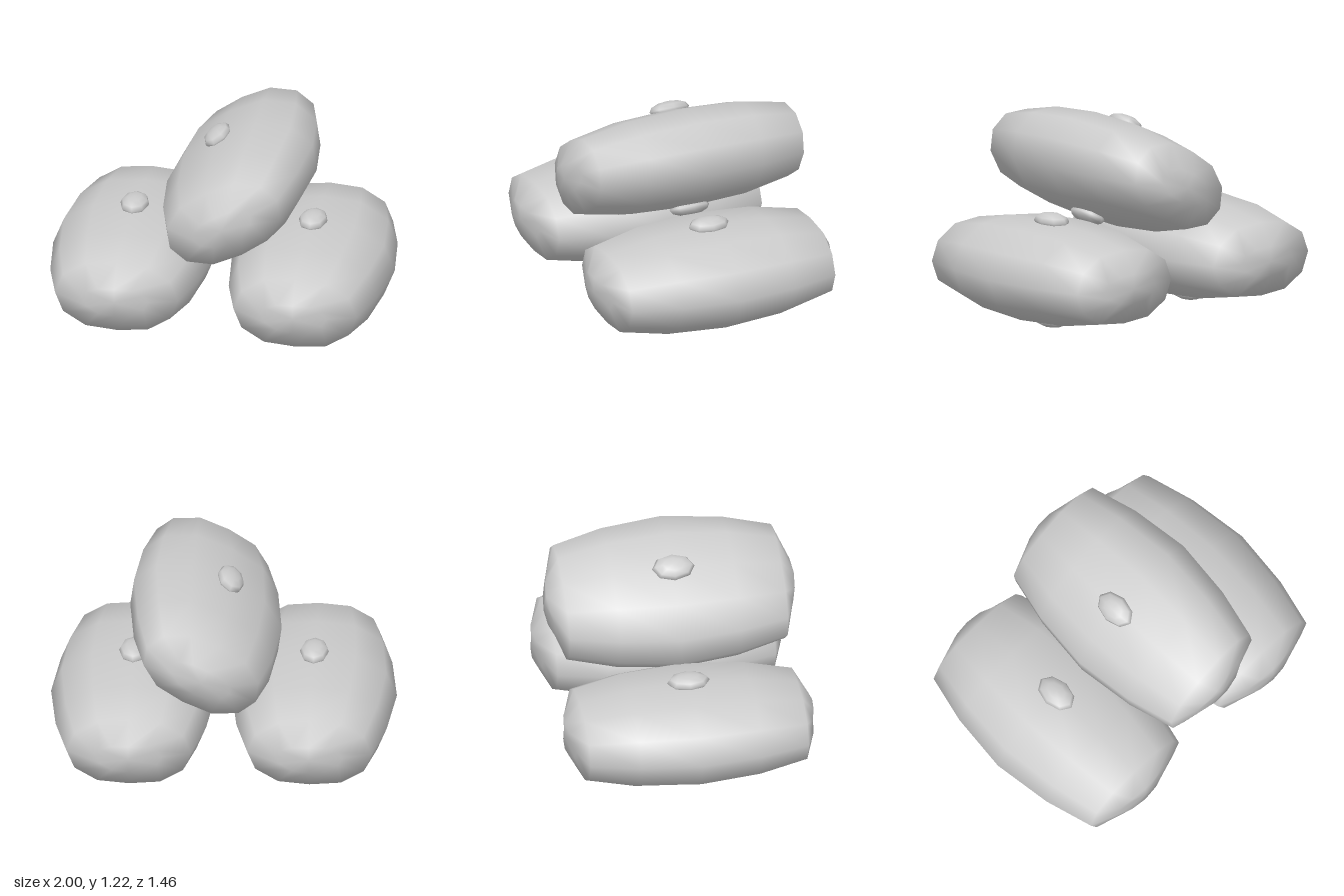
import * as THREE from 'three';

const grey = new THREE.MeshStandardMaterial({ color: 0xcccccc });

// One quarter of the twelve-sided cross-section, mirrored round the rest
const quarter = [[0.477, 0], [0.415, 0.155], [0.24, 0.263]];
const section = [
  ...quarter, [0, 0.285],
  ...quarter.slice(1).reverse().map(([x, y]) => [-x, y]),
  ...quarter.map(([x, y]) => [-x, -y]), [0, -0.285],
  ...quarter.slice(1).reverse().map(([x, y]) => [x, -y]),
];

// Rings along the length: z, width scale, height scale, bulge drop at the sides
const half = [[0.355, 0.912, 0.94, 0], [0.64, 0.755, 0.755, 0], [0.726, 0.4, 0.3, 0.035]];
const rings = [
  ...half.map(([z, w, h, d]) => [-z, w, h, -d]).reverse(),
  [0, 1, 1, 0],
  ...half,
];

// Puffed cushion body, lofted through the rings and closed at both ends
function cushionGeometry() {
  const n = section.length;
  const pos = [];
  const index = [];
  for (const [z, w, h, drop] of rings) {
    for (const [x, y] of section) {
      pos.push(x * w, y * h, z - drop * (x / 0.477) ** 2);
    }
  }
  const back = rings.length * n;
  const front = back + 1;
  pos.push(0, 0, -0.728, 0, 0, 0.728);
  for (let i = 0; i < n; i++) {
    const j = (i + 1) % n;
    for (let r = 0; r < rings.length - 1; r++) {
      const a = r * n + i, b = r * n + j;
      index.push(a, b, b + n, a, b + n, a + n);
    }
    const last = (rings.length - 1) * n;
    index.push(back, j, i, front, last + i, last + j);
  }
  const geometry = new THREE.BufferGeometry();
  geometry.setAttribute('position', new THREE.Float32BufferAttribute(pos, 3));
  geometry.setIndex(index);
  geometry.computeVertexNormals();
  return geometry;
}

export function createModel() {
  const model = new THREE.Group();
  model.name = 'cushionStack';
  const body = cushionGeometry();
  const buttonShape = new THREE.SphereGeometry(1, 8, 6).scale(0.084, 0.047, 0.125);

  function addCushion(name, x, y, tilt) {
    const cushion = new THREE.Group();
    cushion.name = name;
    const bodyMesh = new THREE.Mesh(body, grey);
    bodyMesh.name = 'cushionBody';
    cushion.add(bodyMesh);
    // A button on each broad face
    for (const side of [1, -1]) {
      const button = new THREE.Mesh(buttonShape, grey);
      button.name = side > 0 ? 'topButton' : 'bottomButton';
      button.position.y = side * 0.29;
      cushion.add(button);
    }
    cushion.position.set(x, y, 0);
    cushion.rotation.z = tilt;
    model.add(cushion);
  }

  addCushion('rightCushion', -0.523, 0.36, 0);
  addCushion('leftCushion', 0.521, 0.338, 0);
  // Third cushion leaning across the lower pair
  addCushion('topCushion', 0.103, 0.875, THREE.MathUtils.degToRad(29.5));
  return model;
}
